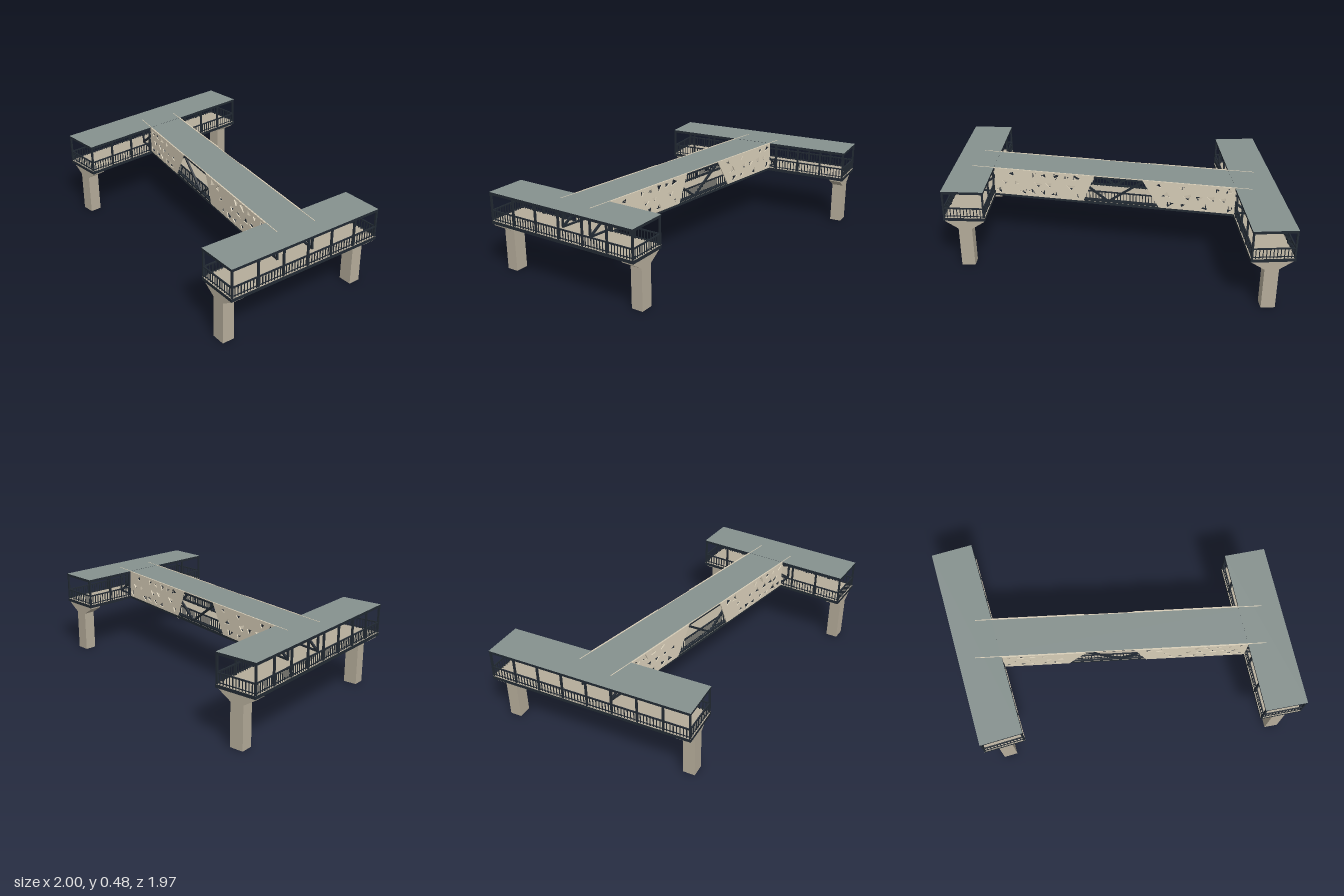
import * as THREE from 'three';
import { mergeGeometries } from 'three/addons/utils/BufferGeometryUtils.js';

const mat = (name, color) => Object.assign(new THREE.MeshStandardMaterial({ color }), { name });

const DECK_BOTTOM = 0.295, DECK_TOP = 0.314, ROOF_TOP = 0.478, RAIL_TOP = 0.372;

export function createModel() {
  const roofGrey = mat('roof grey', 0x86918e);
  const steel = mat('dark steel', 0x222a33);
  const concrete = mat('concrete', 0xb5ac9a);
  const cladding = mat('cladding cream', 0xd8ceb8);
  const model = new THREE.Group();
  model.name = 'footbridge';

  const add = (parent, name, geo, material) => {
    const m = new THREE.Mesh(geo, material);
    m.name = name;
    parent.add(m);
    return m;
  };
  const box = (w, h, d, x, y, z) => new THREE.BoxGeometry(w, h, d).translate(x, y, z);

  // Square bar between two points
  const bar = (a, b, t) => {
    const p = new THREE.Vector3(...a), q = new THREE.Vector3(...b), d = q.clone().sub(p);
    const g = new THREE.BoxGeometry(t, t, d.length());
    const yaw = Math.atan2(d.x, d.z), pitch = -Math.asin(d.y / d.length());
    g.rotateX(pitch).rotateY(yaw);
    return g.translate((p.x + q.x) / 2, (p.y + q.y) / 2, (p.z + q.z) / 2);
  };

  // Railing with closely spaced balusters
  const railing = (ax, az, bx, bz) => {
    const out = [
      bar([ax, RAIL_TOP, az], [bx, RAIL_TOP, bz], 0.007),
      bar([ax, 0.323, az], [bx, 0.323, bz], 0.004),
    ];
    const n = Math.max(1, Math.round(Math.hypot(bx - ax, bz - az) / 0.0185));
    for (let i = 0; i <= n; i++) {
      const x = ax + (bx - ax) * i / n, z = az + (bz - az) * i / n;
      out.push(box(0.004, RAIL_TOP - DECK_TOP, 0.004, x, (RAIL_TOP + DECK_TOP) / 2, z));
    }
    return out;
  };

  // Deck and roof slabs with dark edges; box faces run +x, -x, +y, -y, +z, -z
  const slabs = (g, len, wid, drop) => {
    const h = DECK_TOP - DECK_BOTTOM - 2 * drop;
    add(g, 'deck', box(len, h, wid, 0, (DECK_TOP + DECK_BOTTOM) / 2, 0),
      [steel, steel, concrete, steel, steel, steel]);
    add(g, 'roof', box(len, 0.008, wid, 0, ROOF_TOP - 0.004 - drop, 0),
      [steel, steel, roofGrey, roofGrey, steel, steel]);
  };

  // Covered platform on two flared piers; one long side opens to the bridge
  const platform = (name, cx, cz, yaw, len, bays, pierAt, innerSide, open) => {
    const g = new THREE.Group(), W = 0.238;
    g.name = name;
    g.position.set(cx, 0, cz);
    g.rotation.y = yaw;
    model.add(g);
    slabs(g, len, W, 0);

    const hx = len / 2 - 0.006, hz = W / 2 - 0.006;
    const posts = [], rails = [], beams = [];
    for (const s of [-1, 1]) {
      for (let i = 0; i <= bays; i++) {
        const x = -hx + 2 * hx * i / bays;
        if (s === innerSide && x > open[0] && x < open[1]) continue;
        posts.push(box(0.01, ROOF_TOP - DECK_TOP - 0.006, 0.01, x, (ROOF_TOP + DECK_TOP) / 2 - 0.003, s * hz));
      }
      if (s === innerSide) {
        rails.push(...railing(-hx, s * hz, open[0], s * hz), ...railing(open[1], s * hz, hx, s * hz));
      } else rails.push(...railing(-hx, s * hz, hx, s * hz));
      rails.push(...railing(s * hx, -hz, s * hx, hz));
      beams.push(box(2 * hx, 0.008, 0.01, 0, 0.466, s * hz), box(0.01, 0.008, 2 * hz, s * hx, 0.466, 0));
    }
    add(g, 'posts', mergeGeometries(posts), steel);
    add(g, 'railings', mergeGeometries(rails), steel);
    add(g, 'roofBeams', mergeGeometries(beams), steel);

    // Pier profile across the platform
    const half = [[0.0385, 0], [0.0385, 0.24], [0.111, 0.286], [0.111, DECK_BOTTOM]];
    const pts = [...half, ...half.map(([x, y]) => [-x, y]).reverse()];
    const shape = new THREE.Shape(pts.map(([x, y]) => new THREE.Vector2(x, y)));
    for (const s of [-1, 1]) {
      const geo = new THREE.ExtrudeGeometry(shape, { depth: 0.068, bevelEnabled: false });
      geo.translate(0, 0, -0.034).rotateY(Math.PI / 2).translate(s * pierAt, 0, 0);
      add(g, 'pier', geo, concrete);
    }
  };
  platform('leftPlatform', 0.69, 0.495, 1.145, 0.957, 6, 0.434, -1, [-0.082, 0.149]);
  platform('rightPlatform', -0.7, -0.388, 1.25, 1.188, 8, 0.545, 1, [-0.139, 0.098]);

  // Bridge span
  const span = new THREE.Group();
  span.name = 'bridgeSpan';
  span.position.set(0, 0, 0.04);
  span.rotation.y = -0.562;
  model.add(span);
  const L = 1.643, HW = 0.113;
  slabs(span, L, HW * 2, 0.001);

  let seed = 7;
  const rnd = () => (seed = (seed * 16807) % 2147483647) / 2147483647;

  // Cladding panel with slanted inner edge and scattered triangular holes
  const panel = (x0, x1Top, x1Bottom, z) => {
    const y0 = 0.313, y1 = 0.479, dir = Math.sign(x1Top - x0);
    const outline = [[x0, y0], [x1Bottom, y0], [x1Top, y1], [x0, y1]];
    if (dir < 0) outline.reverse();
    const shape = new THREE.Shape(outline.map(([x, y]) => new THREE.Vector2(x, y)));
    const rows = 3, cell = (y1 - y0) / rows;
    for (let r = 0; r < rows; r++) {
      const y = y0 + (r + 0.5) * cell;
      const reach = Math.abs(x1Bottom + (x1Top - x1Bottom) * (y - y0) / (y1 - y0) - x0) - 0.03;
      for (let d = 0.035 + (r % 2) * 0.03; d < reach - 0.02; d += 0.066) {
        const a = rnd() * 6.28, size = 0.016 + rnd() * 0.012, jx = (rnd() - 0.5) * 0.014;
        if (rnd() < 0.2) continue;
        const hole = [0, 2.1 + rnd() * 0.5, 3.9 + rnd() * 0.5].map(t => new THREE.Vector2(
          x0 + dir * d + jx + Math.cos(a + t) * size * 1.15,
          y + Math.sin(a + t) * size * 0.9));
        shape.holes.push(new THREE.Path(hole));
      }
    }
    const geo = new THREE.ExtrudeGeometry(shape, { depth: 0.006, bevelEnabled: false });
    add(span, 'claddingPanel', geo.translate(0, 0, z - 0.003), cladding);
  };

  // Each side: truss, railing, panels on both ends and a thin cap strip
  for (const [s, from, to] of [[1, -0.67, 0.72], [-1, -0.733, 0.683]]) {
    const z = s * (HW - 0.007), n = 8, truss = [];
    for (const y of [0.318, 0.466]) truss.push(box(L, 0.01, 0.01, 0, y, z));
    for (let i = 0; i < n; i++) {
      const a = -L / 2 + L * i / n, b = a + L / n, up = i % 2 === 0;
      truss.push(bar([a, up ? 0.318 : 0.466, z], [b, up ? 0.466 : 0.318, z], 0.011));
    }
    for (const x of [-L / 2, L / 2]) truss.push(box(0.01, 0.155, 0.01, x, 0.392, z));
    add(span, 'truss', mergeGeometries(truss), steel);
    add(span, 'spanRailing', mergeGeometries(railing(from, z - s * 0.01, to, z - s * 0.01)), steel);
    panel(from, -0.2, -0.3, s * (HW + 0.003));
    panel(to, 0.08, 0.147, s * (HW + 0.003));
    add(span, 'capStrip', box(L, 0.004, 0.004, 0, 0.4772, s * HW), cladding);
  }
  return model;
}
